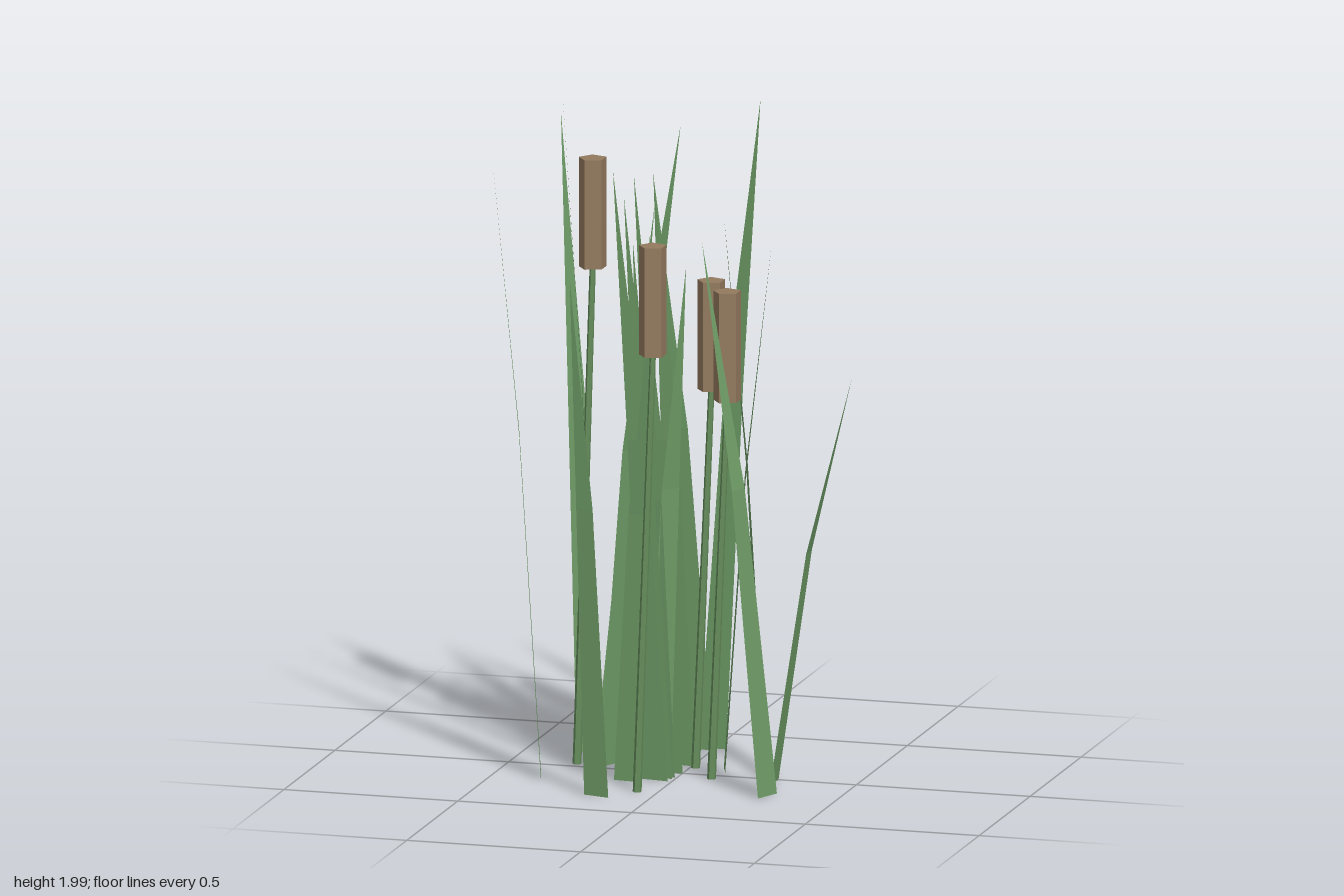
import * as THREE from 'three';

const leafGreen = new THREE.MeshStandardMaterial({ color: 0x6d9a65, flatShading: true, side: THREE.DoubleSide });
leafGreen.name = 'leafGreen';
const stemGreen = new THREE.MeshStandardMaterial({ color: 0x668f5c, flatShading: true });
stemGreen.name = 'stemGreen';
const headBrown = new THREE.MeshStandardMaterial({ color: 0x947a5f, flatShading: true });
headBrown.name = 'headBrown';

// Tapering blade: wide base edge, narrower middle edge, pointed tip
function bladeGeometry(x, z, degrees, lean, height, width) {
  const a = THREE.MathUtils.degToRad(degrees);
  const edge = (cx, y, cz, w) => [-1, 1].map(
    s => new THREE.Vector3(cx + s * Math.cos(a) * w / 2, y, cz + s * Math.sin(a) * w / 2));
  const [b0, b1] = edge(x, 0, z, width);
  const [m0, m1] = edge(x + lean, height * 0.56, z, width * 0.68);
  const tip = new THREE.Vector3(x + lean * 2.45, height, z + lean * 0.73);
  const geometry = new THREE.BufferGeometry().setFromPoints([b0, b1, m1, b0, m1, m0, m0, m1, tip]);
  geometry.computeVertexNormals();
  return geometry;
}

// Blades: base x, base z, edge angle, lean towards +x, height, width
const BLADES = [
  [0.275, 0.037, 90, 0.1, 1.18, 0.083],
  [0.303, 0.2, 114, -0.084, 1.54, 0.081],
  [-0.275, -0.218, -42, 0.092, 1.8, 0.081],
  [-0.365, 0.144, 74, -0.063, 1.74, 0.081],
  [-0.038, -0.295, 3, -0.06, 1.62, 0.08],
  [-0.007, -0.317, 3, 0.062, 1.86, 0.08],
  [-0.325, -0.19, -49, -0.036, 1.8, 0.081],
  [0.21, -0.096, 66, -0.053, 1.55, 0.062],
  [0.1, -0.072, 70, 0.06, 1.5, 0.06],
  [-0.16, -0.115, -37, 0.014, 1.5, 0.07],
  [-0.028, -0.095, 7, -0.037, 1.64, 0.075],
  [-0.223, -0.043, -60, 0.058, 1.6, 0.08],
  [-0.035, 0, 8, -0.047, 1.68, 0.075],
  [-0.07, 0.02, 9, -0.03, 1.5, 0.075],
  [-0.06, 0.035, -44, 0.036, 1.45, 0.08],
  [-0.045, 0.07, 7, -0.046, 1.63, 0.075],
  [-0.05, 0.1, 8, -0.054, 1.71, 0.078],
  [-0.208, 0.11, 72, -0.049, 1.99, 0.081],
  [-0.122, 0.133, 6, 0.03, 1.35, 0.075],
  [-0.15, 0.335, 15, -0.034, 1.45, 0.078],
  [-0.04, 0.05, 10, -0.028, 1.4, 0.07],
];

// Seed heads: centre x, centre z, bottom height
const HEADS = [
  [-0.268, -0.033, 1.41],
  [-0.012, 0.25, 1.24],
  [0.061, -0.075, 1.075],
  [0.141, 0.042, 1.075],
];

export function createModel() {
  const model = new THREE.Group();
  model.name = 'reedClump';

  BLADES.forEach((blade, i) => {
    const mesh = new THREE.Mesh(bladeGeometry(...blade), leafGreen);
    mesh.name = `blade${i + 1}`;
    model.add(mesh);
  });

  HEADS.forEach(([x, z, bottom], i) => {
    const reed = new THREE.Group();
    reed.name = `reed${i + 1}`;

    // Five-sided seed head with a corner towards -x
    const head = new THREE.Mesh(
      new THREE.CylinderGeometry(0.04, 0.04, 0.31, 5, 1, false, -Math.PI / 2), headBrown);
    head.position.set(x, bottom + 0.155, z);
    head.name = 'seedHead';

    // Thin stem, sheared so it leans into the head
    const stemGeometry = new THREE.CylinderGeometry(0.009, 0.013, bottom + 0.02, 5, 1, false, -Math.PI / 2);
    stemGeometry.translate(0, (bottom + 0.02) / 2, 0);
    const lean = 0.045 / bottom;
    stemGeometry.applyMatrix4(new THREE.Matrix4().set(1, lean, 0, 0, 0, 1, 0, 0, 0, 0, 1, 0, 0, 0, 0, 1));
    const stem = new THREE.Mesh(stemGeometry, stemGreen);
    stem.position.set(x - 0.045, 0, z);
    stem.name = 'stem';

    reed.add(head, stem);
    model.add(reed);
  });

  return model;
}
